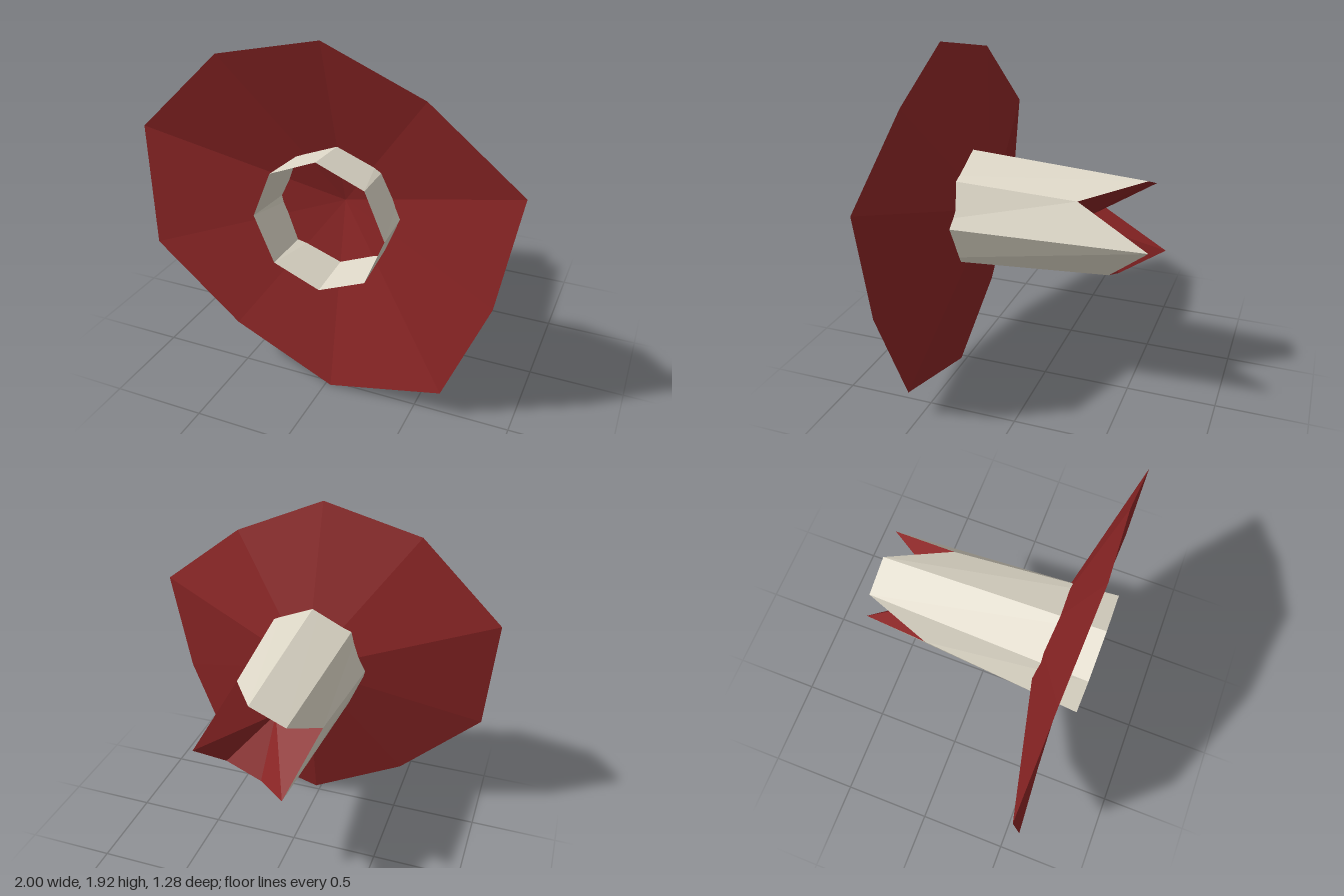
import * as THREE from 'three';

const CX = 0.03, CY = 1.02; // shared axis of shaft and flap

export function createModel() {
  const group = new THREE.Group();
  const bone = new THREE.MeshStandardMaterial({ color: 0xdcd6c6, flatShading: true, side: THREE.DoubleSide });
  bone.name = 'bone';
  const flesh = new THREE.MeshStandardMaterial({ color: 0x8b2525, flatShading: true, side: THREE.DoubleSide });
  flesh.name = 'flesh';

  const addMesh = (name, triangles, material) => {
    const geometry = new THREE.BufferGeometry().setFromPoints(triangles);
    geometry.computeVertexNormals();
    const mesh = new THREE.Mesh(geometry, material);
    mesh.name = name;
    group.add(mesh);
  };

  // Fan of triangles from an apex to a closed loop
  const fan = (apex, loop) =>
    loop.flatMap((p, i) => [apex, p, loop[(i + 1) % loop.length]]);

  // Octagonal ring with its own depth at every corner
  const ring = (radius, depths) => depths.map((z, i) => {
    const a = i * Math.PI / 4;
    return new THREE.Vector3(CX + radius * Math.cos(a), CY + radius * Math.sin(a), z);
  });

  // Open, tapering bone shaft with a splintered back end
  const front = ring(0.346, Array(8).fill(0.64));
  const back = ring(0.272, [-0.64, -0.25, -0.565, -0.57, -0.24, -0.64, -0.43, -0.425]);
  const walls = front.flatMap((p, i) => {
    const j = (i + 1) % 8;
    return [p, back[j], back[i], p, front[j], back[j]];
  });
  addMesh('boneShaft', walls, bone);

  // Sunken marrow closing the splintered end
  addMesh('marrow', fan(new THREE.Vector3(CX, CY, -0.2), [...back].reverse()), flesh);

  // Ragged, shallow flesh dish around the shaft, counter-clockwise from the front
  const rim = [
    [0.03, 1.92, 0.565], [-0.53, 1.79, 0.545], [-1, 1.35, 0.53], [-0.96, 0.7, 0.575],
    [-0.51, 0.28, 0.55], [0.03, 0.003, 0.53], [0.65, 0.16, 0.55], [0.89, 0.74, 0.57],
    [1, 1.33, 0.565], [0.53, 1.7, 0.545],
  ].map((p) => new THREE.Vector3(...p));
  addMesh('fleshFlap', fan(new THREE.Vector3(CX, CY, 0.305), rim), flesh);

  return group;
}
